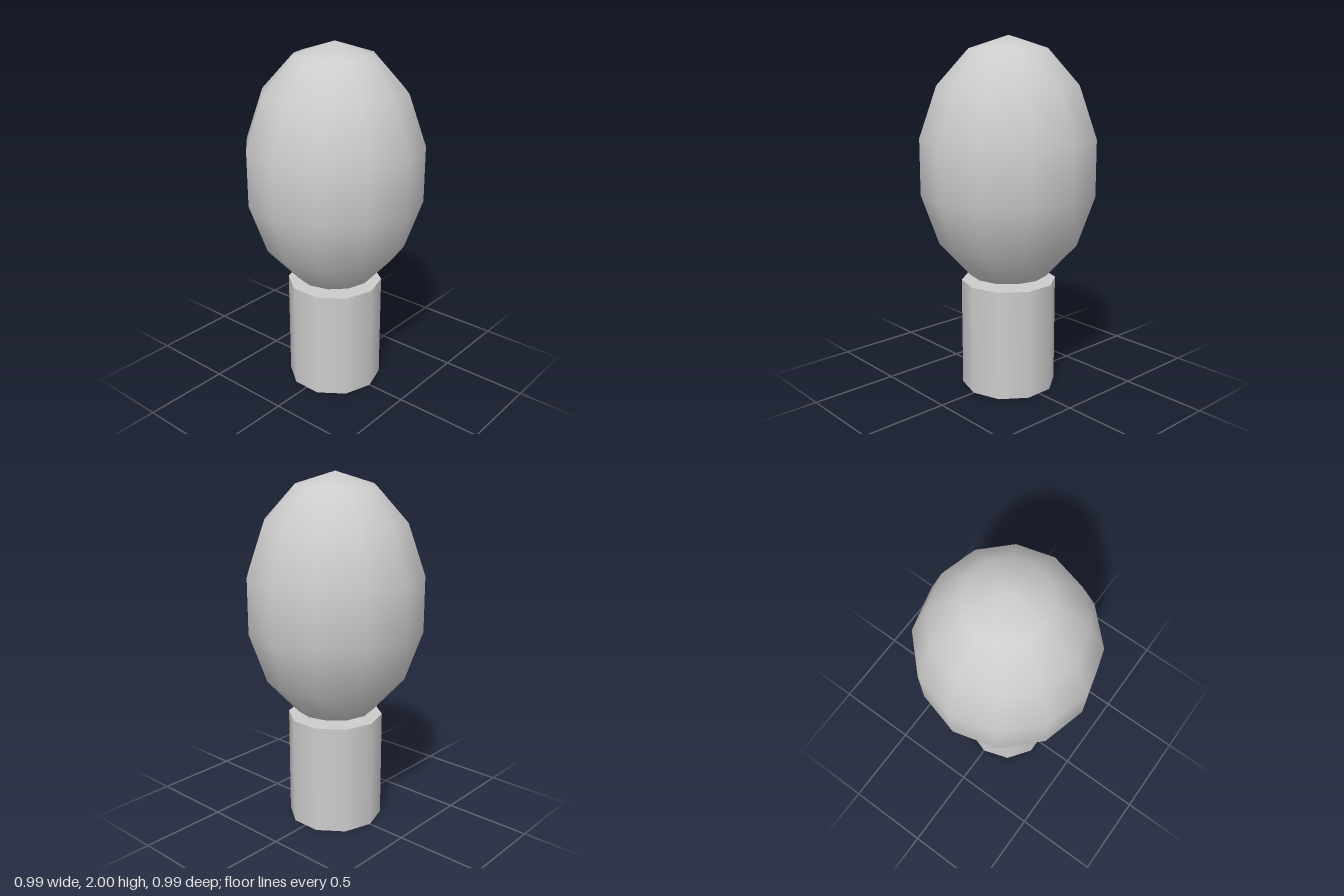
import * as THREE from 'three';

export function createModel() {
  const group = new THREE.Group();
  const grey = new THREE.MeshStandardMaterial({ color: 0xcccccc });
  grey.name = 'light grey';

  // Ten-sided trunk with a corner facing the front
  const trunkHeight = 0.63;
  const trunk = new THREE.Mesh(
    new THREE.CylinderGeometry(0.271, 0.271, trunkHeight, 10),
    grey
  );
  trunk.name = 'trunk';
  trunk.position.y = trunkHeight / 2;

  // Egg-shaped crown: a coarse smooth sphere stretched upwards, sunk into the trunk
  const crownHalfHeight = 0.703;
  const crownGeometry = new THREE.SphereGeometry(1, 12, 7);
  crownGeometry.scale(0.508, crownHalfHeight, 0.508);
  const crown = new THREE.Mesh(crownGeometry, grey);
  crown.name = 'crown';
  crown.position.y = 2 - crownHalfHeight;

  group.add(trunk, crown);
  return group;
}
